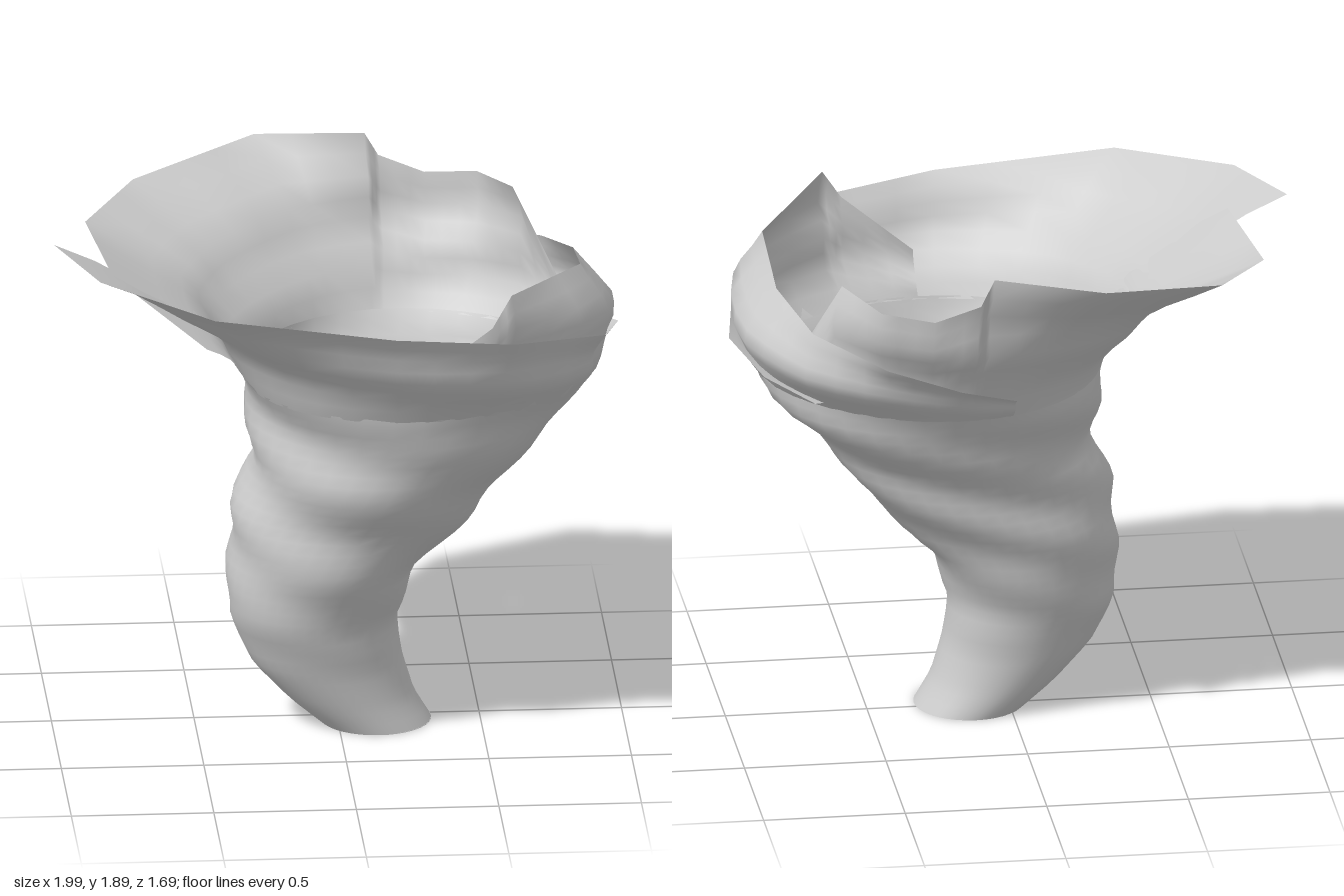
import * as THREE from 'three';

const material = new THREE.MeshStandardMaterial({ color: 0xcccccc, side: THREE.DoubleSide });

// Funnel outline: height, min x, max x, min z, max z
const profile = [
  [0.00, -0.06, 0.33, -0.16, 0.23],
  [0.10, -0.18, 0.27, -0.17, 0.25],
  [0.23, -0.30, 0.23, -0.19, 0.28],
  [0.40, -0.38, 0.205, -0.24, 0.33],
  [0.60, -0.385, 0.28, -0.31, 0.40],
  [0.80, -0.37, 0.49, -0.36, 0.44],
  [1.00, -0.30, 0.63, -0.42, 0.54],
  [1.20, -0.32, 0.83, -0.53, 0.57],
  [1.40, -0.37, 0.93, -0.59, 0.67],
];

// Twisting ridges that sink from the front towards the right and the back
function ridge(phi, y) {
  const fade = THREE.MathUtils.smoothstep(y, 0.1, 0.9);
  return 0.014 * fade * Math.sin(2 * Math.PI * y / 0.28 + 3 * phi);
}

// Point on the funnel wall; phi = 0 is the front, a quarter turn is +x
function wall(phi, y) {
  let i = 0;
  while (i < profile.length - 2 && y > profile[i + 1][0]) i++;
  const a = profile[i], b = profile[i + 1];
  const t = (y - a[0]) / (b[0] - a[0]);
  const [x0, x1, z0, z1] = [1, 2, 3, 4].map(k => THREE.MathUtils.lerp(a[k], b[k], t));
  const r = ridge(phi, y);
  return new THREE.Vector3(
    (x0 + x1) / 2 + ((x1 - x0) / 2 + r) * Math.sin(phi),
    y,
    (z0 + z1) / 2 + ((z1 - z0) / 2 + r) * Math.cos(phi));
}

// Smooth surface through rows of points, optionally closed round
function loft(name, rows, closed) {
  const n = rows[0].length, index = [];
  for (let j = 0; j < rows.length - 1; j++) {
    for (let i = 0; i < (closed ? n : n - 1); i++) {
      const a = j * n + i, b = j * n + (i + 1) % n;
      index.push(a, b, b + n, a, b + n, a + n);
    }
  }
  const geometry = new THREE.BufferGeometry().setFromPoints(rows.flat());
  geometry.setIndex(index);
  geometry.computeVertexNormals();
  const mesh = new THREE.Mesh(geometry, material);
  mesh.name = name;
  return mesh;
}

// Torn sheet that leaves the funnel along its slope and bends to a jagged rim.
// Each rim entry is x, y, z and an outward swell.
function sheet(name, rim) {
  const base = 1.29, steps = 3, rowCount = 8;
  const rows = Array.from({ length: rowCount + 1 }, () => []);
  for (let i = 0; i <= (rim.length - 1) * steps; i++) {
    const k = Math.min(Math.floor(i / steps), rim.length - 2), f = i / steps - k;
    const [x, y, z, swell] = rim[k].map((v, c) => THREE.MathUtils.lerp(v, rim[k + 1][c], f));
    const phi = Math.atan2(x - 0.28, z - 0.04);
    const bend = wall(phi, THREE.MathUtils.lerp(base, y, 0.5));
    bend.x += swell * Math.sin(phi);
    bend.z += swell * Math.cos(phi);
    const curve = new THREE.QuadraticBezierCurve3(wall(phi, base), bend, new THREE.Vector3(x, y, z));
    rows.forEach((row, j) => {
      const t = j / rowCount, p = curve.getPoint(t);
      const r = 1.5 * Math.sin(Math.PI * t) * ridge(phi, p.y);
      row.push(p.add(new THREE.Vector3(r * Math.sin(phi), 0, r * Math.cos(phi))));
    });
  }
  return loft(name, rows, false);
}

export function createModel() {
  const group = new THREE.Group();
  group.name = 'whirlwind';

  // Twisted funnel
  const rows = [], around = 36, up = 32;
  for (let j = 0; j <= up; j++) {
    rows.push(Array.from({ length: around },
      (_, i) => wall(i / around * 2 * Math.PI, 1.3 * j / up)));
  }
  group.add(loft('funnel', rows, true));

  // Closed foot
  const foot = new THREE.Mesh(new THREE.CircleGeometry(0.195, around), material);
  foot.name = 'foot';
  foot.rotation.x = Math.PI / 2;
  foot.position.set(0.135, 0.002, 0.035);
  group.add(foot);

  // High sheet flaring to the back and left, tucked in behind the front sheet
  group.add(sheet('backSheet', [
    [0.80, 1.48, -0.36, 0], [0.65, 1.78, -0.46, 0.05], [0.54, 1.76, -0.69, 0.08],
    [0.36, 1.74, -0.75, 0.1], [0.2, 1.8, -0.77, 0.1], [0.15, 1.89, -0.75, 0.08],
    [-0.23, 1.86, -0.85, 0.02], [-0.67, 1.78, -0.63, 0], [-0.86, 1.74, -0.31, 0],
    [-0.8, 1.73, 0.25, 0], [-0.48, 1.5, 0.38, 0],
  ]));

  // Front sheet running from a pointed tip down round the right
  group.add(sheet('frontSheet', [
    [-1, 1.81, 0.12, 0], [-0.86, 1.79, 0.47, 0], [-0.48, 1.75, 0.79, 0],
    [0.15, 1.68, 0.84, 0.02], [0.57, 1.63, 0.77, 0.03], [0.92, 1.52, 0.38, 0.02],
    [0.99, 1.43, -0.02, 0], [0.9, 1.38, -0.28, 0], [0.74, 1.33, -0.43, 0],
  ]));

  // Right sheet curling in at its rim and sinking to the back
  group.add(sheet('rightSheet', [
    [0.25, 1.46, 0.65, 0], [0.5, 1.66, 0.68, 0], [0.57, 1.77, 0.65, 0.03],
    [0.84, 1.73, 0.22, 0.06], [0.84, 1.66, -0.15, 0.1], [0.75, 1.6, -0.45, 0.1],
    [0.52, 1.55, -0.71, 0.06], [0.26, 1.46, -0.72, 0.02], [0.05, 1.37, -0.6, 0],
  ]));

  return group;
}
